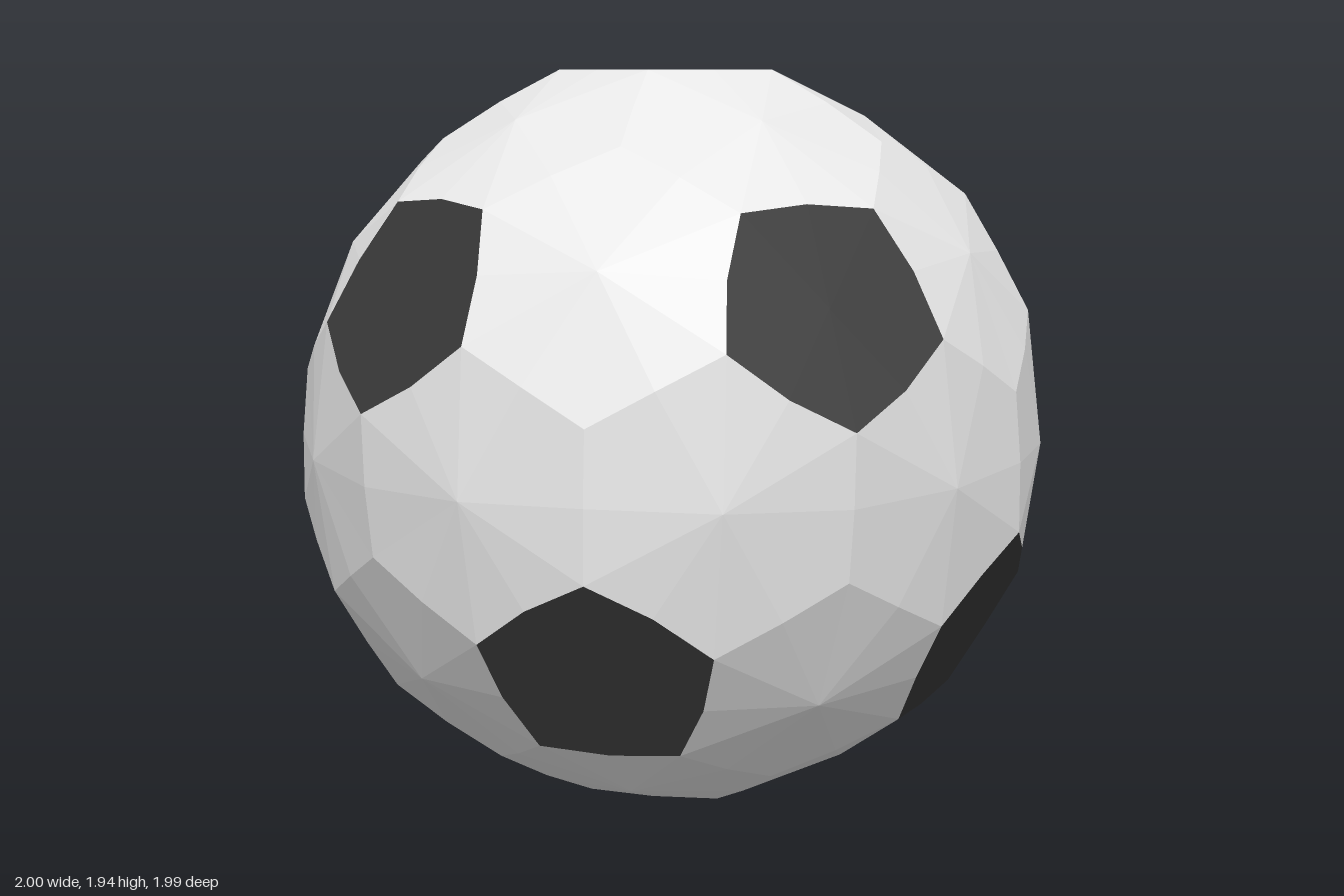
import * as THREE from 'three';

const PLANE = 0.97;      // distance of each dark panel from the ball's centre
const R_CORNER = 0.297;  // dark panel corner radius
const R_SIDE = 0.257;    // dark panel mid-side radius
const R_BALL = 0.997;    // radius of the light panel points

// Twelve panel axes: two poles and two staggered rings of five
function panelAxes() {
  const axes = [new THREE.Vector3(0, 1, 0), new THREE.Vector3(0, -1, 0)];
  const h = 1 / Math.sqrt(5);
  for (let i = 0; i < 5; i++) {
    for (const s of [1, -1]) {
      const a = (i * 72 + (s > 0 ? 0 : 36)) * Math.PI / 180;
      axes.push(new THREE.Vector3(2 * h * Math.cos(a), s * h, 2 * h * Math.sin(a)));
    }
  }
  return axes;
}

const onBall = (...v) => v.reduce((s, p) => s.add(p), new THREE.Vector3()).setLength(R_BALL);

// Point on the flat panel of axis a, at distance r toward a direction
function onPanel(a, toward, r) {
  const t = toward.clone().addScaledVector(a, -toward.dot(a)).normalize();
  return a.clone().multiplyScalar(PLANE).addScaledVector(t, r);
}

// Flat-shaded fan of triangles around a centre, always facing outward
function fan(centre, ring, material, name) {
  const pos = [];
  ring.forEach((p, i) => {
    const q = ring[(i + 1) % ring.length];
    const out = p.clone().cross(q).dot(centre) > 0;
    for (const v of out ? [centre, p, q] : [centre, q, p]) pos.push(v.x, v.y, v.z);
  });
  const geo = new THREE.BufferGeometry();
  geo.setAttribute('position', new THREE.Float32BufferAttribute(pos, 3));
  geo.computeVertexNormals();
  const mesh = new THREE.Mesh(geo, material);
  mesh.name = name;
  return mesh;
}

export function createModel() {
  const white = new THREE.MeshStandardMaterial({ color: 0xe7e7e7 });
  white.name = 'white';
  const black = new THREE.MeshStandardMaterial({ color: 0x383838 });
  black.name = 'black';

  const ball = new THREE.Group();
  ball.name = 'ball';
  const axes = panelAxes();
  const near = (a, b) => a !== b && a.dot(b) > 0.4;
  const corner = (a, b, c) => onPanel(a, b.clone().add(c), R_CORNER);
  const side = (a, b) => onPanel(a, b, R_SIDE);

  // Dark five-sided panels, each side slightly bowed at its middle
  for (const a of axes) {
    const ring = [];
    let b = axes.find(v => near(a, v));
    for (let i = 0; i < 5; i++) {
      const c = b.clone().applyAxisAngle(a, Math.PI * 2 / 5);
      ring.push(side(a, b), corner(a, b, c));
      b = c;
    }
    ball.add(fan(a.clone().multiplyScalar(PLANE), ring, black, 'darkPanel'));
  }

  // Light six-sided panels, one between each pair of neighbouring dark panels
  axes.forEach((a, i) => axes.slice(i + 1).filter(b => near(a, b)).forEach(b => {
    const [c, d] = axes.filter(v => near(a, v) && near(b, v));
    const tipC = onBall(a, b, c), tipD = onBall(a, b, d);
    const ac = corner(a, b, c), ad = corner(a, b, d);
    const bc = corner(b, a, c), bd = corner(b, a, d);
    const ring = [
      tipC, onBall(tipC, ac), ac, side(a, b), ad, onBall(ad, tipD),
      tipD, onBall(tipD, bd), bd, side(b, a), bc, onBall(bc, tipC),
    ];
    ball.add(fan(onBall(a, b), ring, white, 'lightPanel'));
  }));

  ball.position.y = PLANE;
  const model = new THREE.Group();
  model.name = 'panelledBall';
  model.add(ball);
  return model;
}
